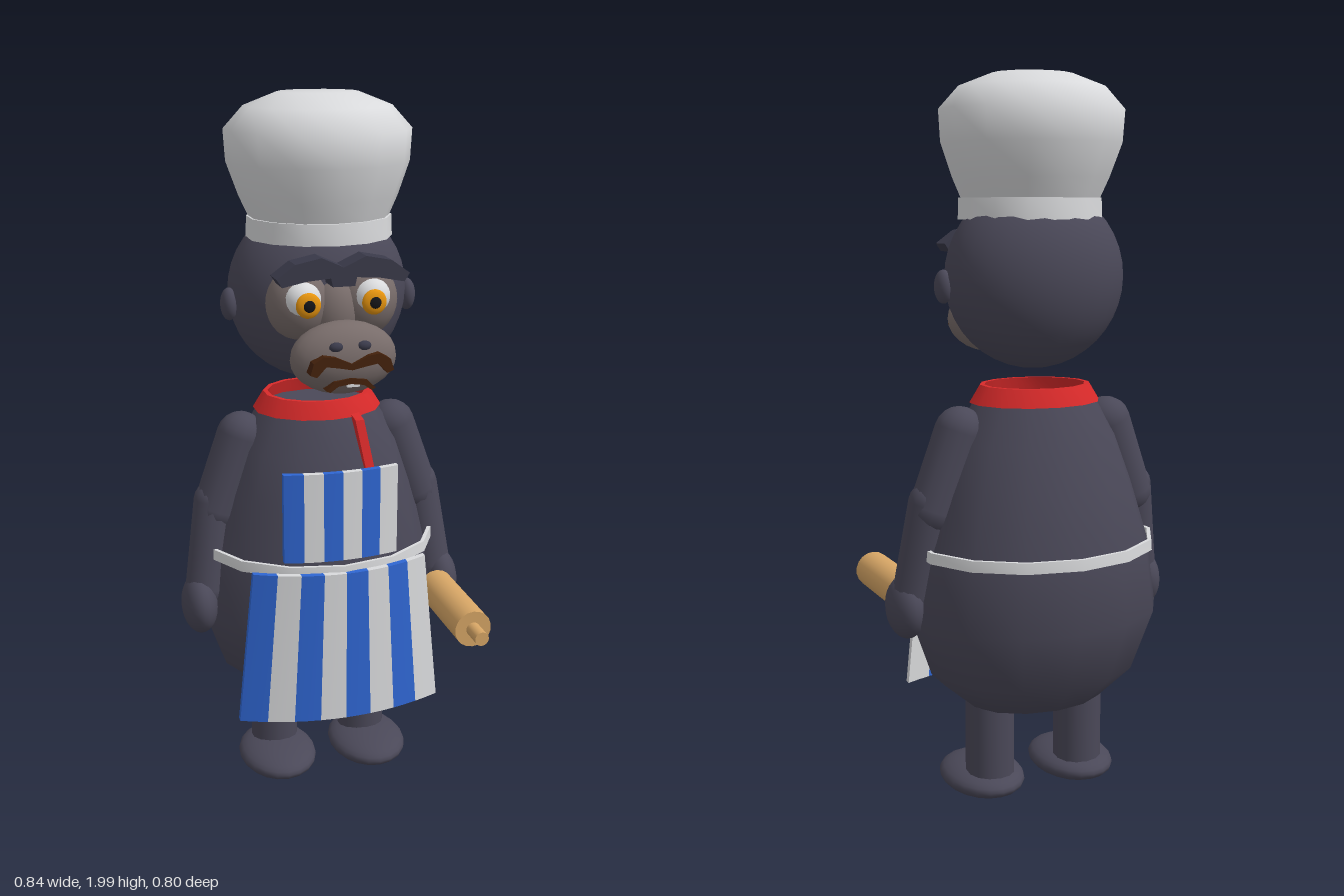
import * as THREE from 'three';
import { mergeVertices, toCreasedNormals } from 'three/addons/utils/BufferGeometryUtils.js';

const mat = (name, color) => {
  const m = new THREE.MeshStandardMaterial({ color });
  m.name = name;
  return m;
};

export function createModel() {
  const fur = mat('dark fur', 0x4a4858);
  const browFur = mat('brow fur', 0x3a3a4a);
  const skin = mat('face skin', 0x786c6a);
  const white = mat('white cloth', 0xd9dadc);
  const blue = mat('blue cloth', 0x2f66d2);
  const red = mat('red cloth', 0xd82a2a);
  const wood = mat('wood', 0xd6a565);
  const amber = mat('amber', 0xec980f);
  const brown = mat('moustache brown', 0x45220c);
  const black = mat('pupil black', 0x151518);

  const model = new THREE.Group();
  model.name = 'cook';

  const add = (name, geometry, material, pos = [0, 0, 0]) => {
    const mesh = new THREE.Mesh(geometry, material);
    mesh.name = name;
    mesh.position.set(...pos);
    model.add(mesh);
    return mesh;
  };

  // Elliptical rings [y, radius x, radius z, centre z], listed bottom to top
  const loft = (name, rows, material, sides = 14, crease = 1) => {
    const geo = new THREE.LatheGeometry(rows.map(r => new THREE.Vector2(1, r[0])), sides, Math.PI);
    const p = geo.attributes.position;
    for (let i = 0; i < p.count; i++) {
      const [, rx, rz, cz] = rows[i % rows.length];
      p.setX(i, p.getX(i) * rx);
      p.setZ(i, p.getZ(i) * rz + cz);
    }
    geo.deleteAttribute('uv');
    geo.deleteAttribute('normal');
    return add(name, toCreasedNormals(mergeVertices(geo), crease), material);
  };

  const ellipsoid = (name, pos, radii, material, w = 20, h = 14) =>
    add(name, new THREE.SphereGeometry(1, w, h).scale(...radii), material, pos);

  // Capsule between two points
  const limb = (name, a, b, r, material) => {
    const from = new THREE.Vector3(...a), to = new THREE.Vector3(...b);
    const dir = to.clone().sub(from);
    const mesh = add(name, new THREE.CapsuleGeometry(r, dir.length(), 5, 14), material);
    mesh.position.copy(from).add(to).multiplyScalar(0.5);
    mesh.quaternion.setFromUnitVectors(new THREE.Vector3(0, 1, 0), dir.normalize());
  };

  // Flat half outline mirrored across x = 0 and given depth
  const mirrored = (name, half, z0, z1, material) => {
    const right = half.map(([x, y]) => new THREE.Vector2(x, y));
    const left = half.filter(([x]) => x > 0).reverse().map(([x, y]) => new THREE.Vector2(-x, y));
    const geo = new THREE.ExtrudeGeometry(new THREE.Shape([...right, ...left]), { depth: z1 - z0, bevelEnabled: false });
    add(name, geo, material, [0, 0, z0]);
  };

  // Torso
  loft('torso', [
    [0.285, 0, 0, -0.1], [0.285, 0.2, 0.15, -0.1], [0.37, 0.3, 0.225, -0.1],
    [0.54, 0.36, 0.275, -0.108], [0.73, 0.33, 0.258, -0.112], [0.9, 0.28, 0.225, -0.105],
    [1.03, 0.235, 0.19, -0.1], [1.14, 0.17, 0.145, -0.1], [1.14, 0, 0, -0.1],
  ], fur);

  // Waist tie, a loose hollow band
  loft('waistTie', [
    [0.72, 0.335, 0.288, -0.1], [0.72, 0.346, 0.298, -0.1], [0.75, 0.344, 0.296, -0.1],
    [0.75, 0.333, 0.286, -0.1], [0.72, 0.335, 0.288, -0.1],
  ], white);

  // Neckerchief ring and its hanging tail
  loft('neckerchief', [
    [1.13, 0.165, 0.135, -0.1], [1.13, 0.185, 0.155, -0.1], [1.178, 0.155, 0.135, -0.1],
    [1.178, 0.142, 0.122, -0.1], [1.13, 0.165, 0.135, -0.1],
  ], red);
  const tail = new THREE.Shape([[0.03, 1.14], [0.078, 1.13], [0.122, 0.95], [0.11, 0.95]]
    .map(([z, y]) => new THREE.Vector2(-z, y)));
  const tailGeo = new THREE.ExtrudeGeometry(tail, { depth: 0.025, bevelEnabled: false }).rotateY(Math.PI / 2);
  const tp = tailGeo.attributes.position;
  for (let i = 0; i < tp.count; i++) tp.setX(i, tp.getX(i) + 0.06 + (1.14 - tp.getY(i)) * 0.16);
  tailGeo.computeVertexNormals();
  add('neckerchiefTail', tailGeo, red);

  // Apron pieces made of curved vertical stripes
  const apron = (name, count, y0, y1, bottom, top, zMid, drop) => {
    for (let s = 0; s < count; s++) {
      const geo = new THREE.BoxGeometry(1, 1, 0.018, 2, 1, 1);
      const p = geo.attributes.position;
      for (let i = 0; i < p.count; i++) {
        const v = p.getY(i) + 0.5;
        const u = ((s + p.getX(i) + 0.5) / count) * 2 - 1;
        p.setXYZ(i, u * (bottom + (top - bottom) * v), y0 + (y1 - y0) * v, p.getZ(i) + zMid - drop * u * u);
      }
      geo.computeVertexNormals();
      add(`${name}Stripe${s + 1}`, geo, s % 2 ? white : blue);
    }
  };
  apron('apronSkirt', 8, 0.285, 0.733, 0.296, 0.25, 0.2, 0.064);
  apron('apronBib', 6, 0.758, 1.015, 0.163, 0.163, 0.163, 0.022);

  // Legs, feet, arms, hands and ears
  for (const [side, s] of [['left', 1], ['right', -1]]) {
    add(`${side}Leg`, new THREE.CylinderGeometry(0.07, 0.07, 0.32, 14), fur, [s * 0.138, 0.22, -0.1]);
    ellipsoid(`${side}Foot`, [s * 0.142, 0.052, -0.05], [0.115, 0.045, 0.153], fur);
    limb(`${side}UpperArm`, [s * 0.225, 1.06, -0.1], [s * 0.3, 0.85, -0.095], 0.068, fur);
    limb(`${side}Forearm`, [s * 0.308, 0.87, -0.095], [s * 0.345, 0.62, -0.065], 0.06, fur);
    ellipsoid(`${side}Hand`, [s * 0.367, 0.575, -0.052], [0.052, 0.086, 0.086], fur);
    ellipsoid(`${side}Ear`, [s * 0.255, 1.445, -0.072], [0.024, 0.045, 0.033], fur);

    // Eyes on rounded sockets
    ellipsoid(`${side}EyeSocket`, [s * 0.092, 1.465, 0.05], [0.09, 0.1, 0.085], skin);
    ellipsoid(`${side}EyeWhite`, [s * 0.095, 1.482, 0.095], [0.054, 0.052, 0.054], white);
    ellipsoid(`${side}Iris`, [s * 0.09, 1.475, 0.146], [0.034, 0.034, 0.014], amber);
    ellipsoid(`${side}Pupil`, [s * 0.09, 1.475, 0.158], [0.016, 0.016, 0.006], black, 12, 8);
    ellipsoid(`${side}Nostril`, [s * 0.038, 1.38, 0.226], [0.019, 0.013, 0.012], browFur, 12, 8);
  }

  // Head and muzzle
  ellipsoid('head', [0, 1.468, -0.097], [0.251, 0.248, 0.2], fur, 28, 20);
  ellipsoid('noseBridge', [0, 1.44, 0.065], [0.07, 0.1, 0.07], skin);
  ellipsoid('muzzle', [0, 1.337, 0.163], [0.146, 0.098, 0.077], skin);

  mirrored('brow', [
    [0, 1.525], [0.03, 1.525], [0.035, 1.548], [0.1, 1.543], [0.165, 1.53],
    [0.18, 1.552], [0.13, 1.588], [0.06, 1.602], [0, 1.575],
  ], 0.1, 0.168, browFur);
  mirrored('moustache', [
    [0, 1.322], [0.04, 1.33], [0.07, 1.335], [0.095, 1.308], [0.113, 1.315],
    [0.104, 1.345], [0.075, 1.362], [0.045, 1.358], [0, 1.338],
  ], 0.2, 0.248, brown);
  mirrored('mouth', [
    [0, 1.282], [0.035, 1.277], [0.056, 1.262], [0.067, 1.267], [0.045, 1.29], [0, 1.298],
  ], 0.18, 0.236, brown);
  add('teeth', new THREE.BoxGeometry(0.034, 0.012, 0.008), white, [0.008, 1.278, 0.228]);

  // Cook's hat
  loft('hatBand', [
    [1.62, 0, 0, -0.073], [1.62, 0.201, 0.184, -0.073], [1.677, 0.199, 0.182, -0.073], [1.677, 0, 0, -0.073],
  ], white);
  loft('hatPuff', [
    [1.675, 0.193, 0.176, -0.075], [1.73, 0.218, 0.198, -0.078], [1.82, 0.25, 0.23, -0.082],
    [1.905, 0.255, 0.237, -0.083], [1.965, 0.2, 0.188, -0.083], [2, 0.11, 0.1, -0.083], [2, 0, 0, -0.083],
  ], white, 14, 1.5);

  // Rolling pin held in the left hand
  const pin = (name, r, z0, z1) => add(name,
    new THREE.CylinderGeometry(r, r, z1 - z0, 18).rotateX(Math.PI / 2), wood, [0.327, 0.58, (z0 + z1) / 2]);
  pin('rollingPinBarrel', 0.053, 0.04, 0.335);
  pin('rollingPinHandles', 0.02, -0.03, 0.4);

  return model;
}
